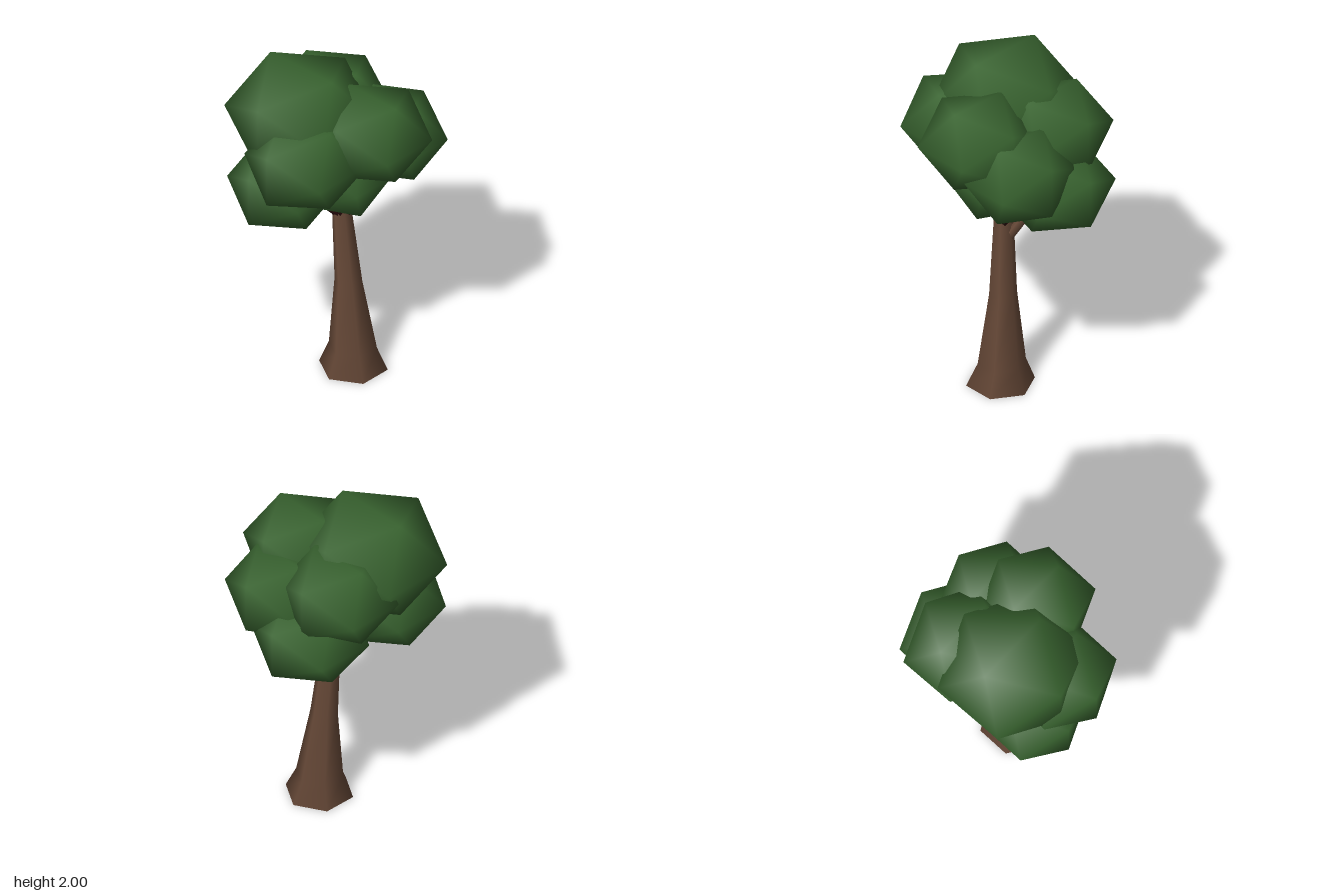
import * as THREE from 'three';
import { mergeVertices } from 'three/addons/utils/BufferGeometryUtils.js';

const bark = new THREE.MeshStandardMaterial({ color: 0x6b4c3a });
bark.name = 'bark brown';
const darkBark = new THREE.MeshStandardMaterial({ color: 0x2a0c0c });
darkBark.name = 'dark bark';
const leaf = new THREE.MeshStandardMaterial({ color: 0x38632f });
leaf.name = 'leaf green';

// Smooth-shaded icosahedron, turned so an edge lies along z at the top
function makeLeafBall() {
  const raw = new THREE.IcosahedronGeometry(1, 0).rotateY(Math.PI / 2);
  raw.deleteAttribute('uv');
  raw.deleteAttribute('normal');
  const ball = mergeVertices(raw);
  ball.computeVertexNormals();
  // Scale so the half extents are exactly one
  const phi = (1 + Math.sqrt(5)) / 2;
  const k = Math.sqrt(1 + phi * phi) / phi;
  return ball.scale(k, k, k);
}

// Six-sided trunk whose rings follow a leaning, flared profile
function makeTrunk() {
  const rings = [ // x, y, z, radius
    [0.065, 0, 0.072, 0.197],
    [0.068, 0.135, 0.065, 0.138],
    [0.055, 0.57, 0.043, 0.08],
    [0.033, 1.0, 0.018, 0.059],
    [0.03, 1.07, 0.012, 0.057],
  ];
  const geo = new THREE.CylinderGeometry(1, 1, 4, 6, 4, false, Math.PI / 2);
  const pos = geo.attributes.position;
  for (let i = 0; i < pos.count; i++) {
    const [x, y, z, r] = rings[Math.round(pos.getY(i) + 2)];
    pos.setXYZ(i, x + r * pos.getX(i), y, z + r * pos.getZ(i));
  }
  return new THREE.Mesh(geo, bark);
}

// Tapered straight limb between two points
function makeLimb(from, to, r0, r1, material) {
  const a = new THREE.Vector3(...from);
  const b = new THREE.Vector3(...to);
  const dir = b.clone().sub(a);
  const mesh = new THREE.Mesh(new THREE.CylinderGeometry(r1, r0, dir.length(), 6), material);
  mesh.position.copy(a).add(b).multiplyScalar(0.5);
  mesh.quaternion.setFromUnitVectors(new THREE.Vector3(0, 1, 0), dir.normalize());
  return mesh;
}

export function createModel() {
  const tree = new THREE.Group();
  tree.name = 'tree';

  const trunk = makeTrunk();
  trunk.name = 'trunk';
  tree.add(trunk);

  // Side branch leaving below the fork
  const side = makeLimb([0.065, 0.93, 0.01], [0.32, 1.36, -0.08], 0.028, 0.024, bark);
  side.name = 'sideBranch';
  tree.add(side);

  // Dark branches fanning into the crown
  const tips = [
    [0.08, 1.55, 0.2], [-0.25, 1.5, 0.04], [-0.1, 1.6, -0.13],
    [0.16, 1.55, -0.18], [0.28, 1.45, 0.12], [-0.24, 1.3, -0.12],
  ];
  for (const tip of tips) {
    const branch = makeLimb([0.035, 1.01, 0.025], tip, 0.036, 0.025, darkBark);
    branch.name = 'crownBranch';
    tree.add(branch);
  }

  // Leaf clumps: centre, half extents, small turn about y
  const clumps = [
    ['topClump', [-0.13, 1.69, -0.145], [0.365, 0.31, 0.375], 0.03],
    ['frontClump', [0.05, 1.645, 0.232], [0.293, 0.245, 0.29], 0],
    ['rightClump', [-0.28, 1.54, 0.04], [0.322, 0.25, 0.29], 0],
    ['leftFrontClump', [0.3, 1.49, 0.14], [0.26, 0.243, 0.282], 0],
    ['leftBackClump', [0.185, 1.6, -0.215], [0.285, 0.245, 0.303], 0.03],
    ['lowLeftClump', [0.31, 1.325, -0.12], [0.29, 0.23, 0.292], 0],
    ['lowRightClump', [-0.27, 1.3, -0.14], [0.29, 0.24, 0.272], 0],
    ['lowFrontClump', [0.0, 1.325, 0.03], [0.22, 0.235, 0.26], 0],
  ];
  const ball = makeLeafBall();
  for (const [name, centre, size, turn] of clumps) {
    const clump = new THREE.Mesh(ball, leaf);
    clump.name = name;
    clump.position.set(...centre);
    clump.scale.set(...size);
    clump.rotation.y = turn;
    tree.add(clump);
  }
  return tree;
}
